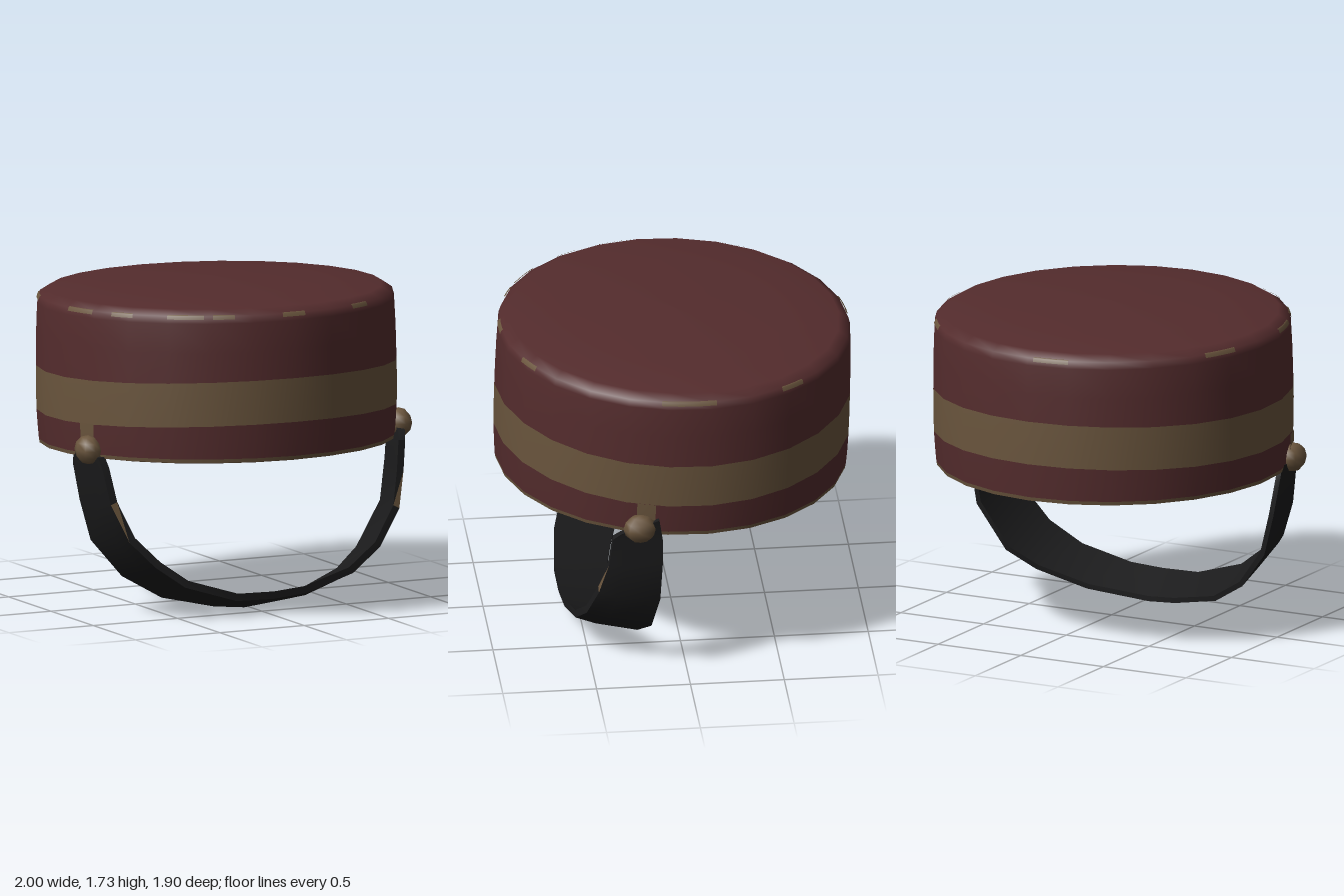
import * as THREE from 'three';
import { toCreasedNormals } from 'three/addons/utils/BufferGeometryUtils.js';

const SIDES = 26;
const rad = THREE.MathUtils.degToRad;

export function createModel() {
  const group = new THREE.Group();
  const mat = (name, color) => {
    const m = new THREE.MeshStandardMaterial({ color });
    m.name = name;
    return m;
  };
  const red = mat('maroon felt', 0x542c2d);
  const gold = mat('dull gold', 0x6a553d);
  const black = mat('black leather', 0x1b1b1c);

  const add = (name, geometry, material) => {
    const mesh = new THREE.Mesh(geometry, material);
    mesh.name = name;
    group.add(mesh);
    return mesh;
  };

  // Turned ring, slightly oval, leaning up at the front; the band rises a little more
  const turned = (profile, phi = 0, arc = Math.PI * 2, sides = SIDES) => {
    const g = new THREE.LatheGeometry(profile.map(p => new THREE.Vector2(...p)), sides, phi, arc);
    const pos = g.attributes.position;
    for (let i = 0; i < pos.count; i++) {
      const x = pos.getX(i), y = pos.getY(i), z = pos.getZ(i) * 0.985;
      const bend = y > 1 && y < 1.3 ? 0.03 * z * z : 0;
      pos.setXYZ(i, x - 0.015, y + 0.027 * z + bend, z - 0.025 * Math.max(0, y - 0.85));
    }
    return g;
  };

  // Hat body, from the bottom up
  add('lowerTrim', turned([[0.947, 0.864], [0.951, 0.884]]), gold);
  add('lowerWall', turned([[0.951, 0.884], [0.957, 0.96], [0.962, 1.04]]), red);
  add('hatBand', turned([[0.962, 1.04], [0.964, 1.16], [0.963, 1.275]]), gold);
  add('crown', turned([[0.963, 1.275], [0.96, 1.45], [0.953, 1.61], [0.942, 1.648],
    [0.89, 1.68], [0.6, 1.705], [0.3, 1.722], [0, 1.73]]), red);

  // Deep lining with a fold round the inside, and the rim
  add('lining', turned([[0, 1.67], [0.6, 1.645], [0.82, 1.59], [0.88, 1.48], [0.87, 1.35],
    [0.845, 1.28], [0.86, 1.17], [0.835, 1.12], [0.875, 1.07], [0.885, 0.97], [0.87, 0.875]]), gold);
  add('rim', turned([[0.87, 0.875], [0.905, 0.856], [0.947, 0.864]]), gold);
  for (const [angle, arc] of [[-112, 68], [-32, 24]]) {
    add('innerSeam', turned([[0.85, 1.345], [0.833, 1.28]], rad(angle), rad(arc), 6), black);
  }

  // Worn patches along the top edge: angle from the front and arc, in degrees
  const wear = [[-4, 8], [24, 8], [-27, 7], [-42, 12], [-62, 8], [-82, 12], [-120, 12], [80, 18], [122, 9], [182, 12]];
  for (const [angle, arc] of wear) {
    add('wornEdge', turned([[0.951, 1.632], [0.944, 1.651], [0.936, 1.655]], rad(angle), rad(arc), 3), gold);
  }

  // Gold tabs joining the band to the strap buttons
  for (const angle of [-75, 73]) {
    add('strapTab', turned([[0.957, 0.9], [0.964, 0.97], [0.967, 1.045]], rad(angle), rad(6), 1), gold);
  }

  // Chin strap: back edge xyz and front edge xyz at each station
  const stations = [
    [-0.945, 0.9, 0.16, -0.91, 0.88, 0.38], [-0.94, 0.82, 0.14, -0.895, 0.82, 0.4],
    [-0.9, 0.62, 0.14, -0.86, 0.63, 0.43], [-0.84, 0.4, 0.15, -0.775, 0.43, 0.48],
    [-0.68, 0.2, 0.2, -0.64, 0.29, 0.52], [-0.48, 0.08, 0.27, -0.49, 0.18, 0.57],
    [-0.2, 0.02, 0.33, -0.2, 0.09, 0.6], [-0.03, 0.005, 0.35, 0.02, 0.085, 0.6],
    [0.32, 0.04, 0.31, 0.22, 0.1, 0.59], [0.59, 0.13, 0.24, 0.51, 0.18, 0.56],
    [0.74, 0.23, 0.18, 0.69, 0.3, 0.52], [0.9, 0.47, 0.15, 0.83, 0.49, 0.47],
    [0.935, 0.7, 0.14, 0.88, 0.68, 0.42], [0.945, 0.84, 0.14, 0.9, 0.84, 0.4],
    [0.955, 0.97, 0.16, 0.92, 0.88, 0.36],
  ];
  const wornSegments = [3, 12];
  const verts = [], leather = [], worn = [];
  stations.forEach((s, i) => {
    const back = new THREE.Vector3(s[0], s[1], s[2]);
    const front = new THREE.Vector3(s[3], s[4], s[5]);
    const inward = new THREE.Vector3(-s[0], 0.95 - s[1], 0).normalize().multiplyScalar(0.04);
    const crease = back.clone().lerp(front, 0.68).addScaledVector(inward, -0.25);
    const section = [back, crease, front, front.clone().add(inward), back.clone().addScaledVector(inward, 0.7)];
    for (const p of section) verts.push(p.x, p.y, p.z);
    if (i === 0) return;
    for (let k = 0; k < 5; k++) {
      const a = (i - 1) * 5 + k, b = (i - 1) * 5 + (k + 1) % 5;
      const index = k === 2 && wornSegments.includes(i) ? worn : leather;
      index.push(a, a + 5, b);
      leather.push(b, a + 5, b + 5);
    }
  });
  const last = (stations.length - 1) * 5;
  for (let k = 1; k < 4; k++) leather.push(0, k, k + 1, last, last + k + 1, last + k);
  const strapPart = (name, index, material) => {
    const g = new THREE.BufferGeometry();
    g.setAttribute('position', new THREE.Float32BufferAttribute(verts, 3));
    g.setIndex(index);
    add(name, toCreasedNormals(g, 0.6), material);
  };
  strapPart('chinStrap', leather, black);
  strapPart('wornStrapEdge', worn, gold);

  // Buttons where the strap meets the hat
  for (const [x, z] of [[-0.93, 0.3], [0.93, 0.26]]) {
    const button = add('strapButton', new THREE.SphereGeometry(1, 8, 6), gold);
    button.scale.set(0.07, 0.078, 0.09);
    button.position.set(x, 0.915, z);
  }
  return group;
}
